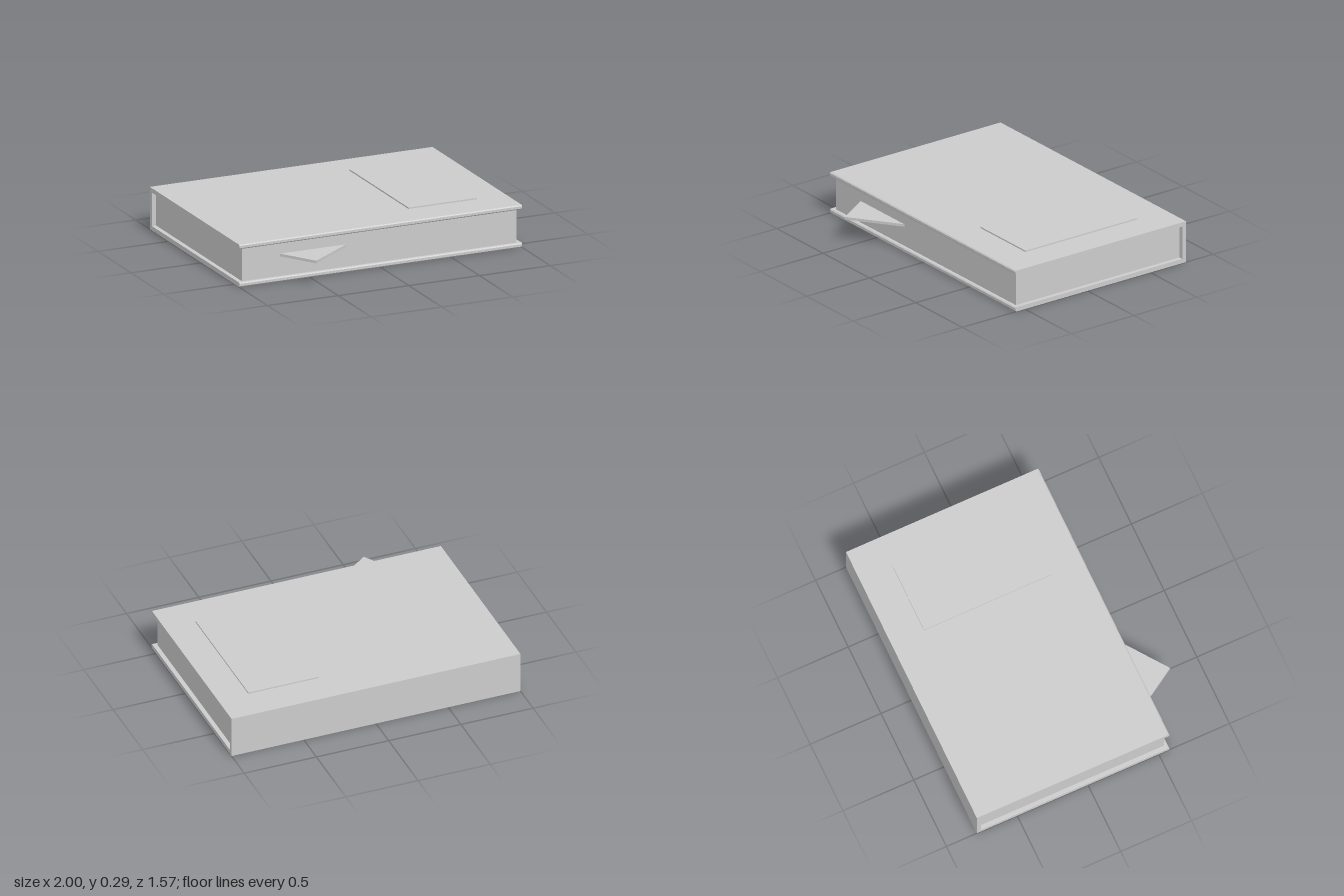
import * as THREE from 'three';

const material = new THREE.MeshStandardMaterial({ color: 0xcccccc });

function addMesh(group, name, geometry) {
  const mesh = new THREE.Mesh(geometry, material);
  mesh.name = name;
  group.add(mesh);
  return mesh;
}

// Box given by its minimum and maximum corners
function addBox(group, name, min, max) {
  const size = max.map((v, i) => v - min[i]);
  const mesh = addMesh(group, name, new THREE.BoxGeometry(...size));
  mesh.position.set(...max.map((v, i) => (v + min[i]) / 2));
}

export function createModel() {
  const book = new THREE.Group();
  book.name = 'book';

  const back = -0.785, front = 0.575, height = 0.285, board = 0.03, bevel = 0.007;

  // Cover: two boards joined by the spine, one C-shaped section (z, y) run along x
  const section = new THREE.Shape([
    [back, 0], [front - bevel, 0], [front, bevel], [front, board - bevel], [front - bevel, board],
    [back + board, board], [back + board, height - board],
    [front - bevel, height - board], [front, height - board + bevel],
    [front, height - bevel], [front - bevel, height], [back, height],
  ].map(([z, y]) => new THREE.Vector2(z, y)));
  const cover = new THREE.ExtrudeGeometry(section, { depth: 2, bevelEnabled: false });
  cover.rotateY(-Math.PI / 2).translate(1, 0, 0);
  addMesh(book, 'cover', cover);

  // Page block, set in from the three open edges
  addBox(book, 'pages', [-0.97, board, back + board], [0.97, height - board, 0.55]);

  // Raised label on the top board
  addBox(book, 'label', [0.305, height - 0.01, -0.555], [0.79, height + 0.009, 0.34]);

  // Corner of a loose sheet sticking out of the pages
  const corner = new THREE.Shape([
    new THREE.Vector2(-0.715, 0.53), new THREE.Vector2(-0.205, 0.53), new THREE.Vector2(-0.555, 0.785),
  ]);
  const sheet = new THREE.ExtrudeGeometry(corner, { depth: 0.018, bevelEnabled: false });
  sheet.rotateX(Math.PI / 2).translate(0, 0.18, 0);
  addMesh(book, 'bookmark', sheet);

  return book;
}
